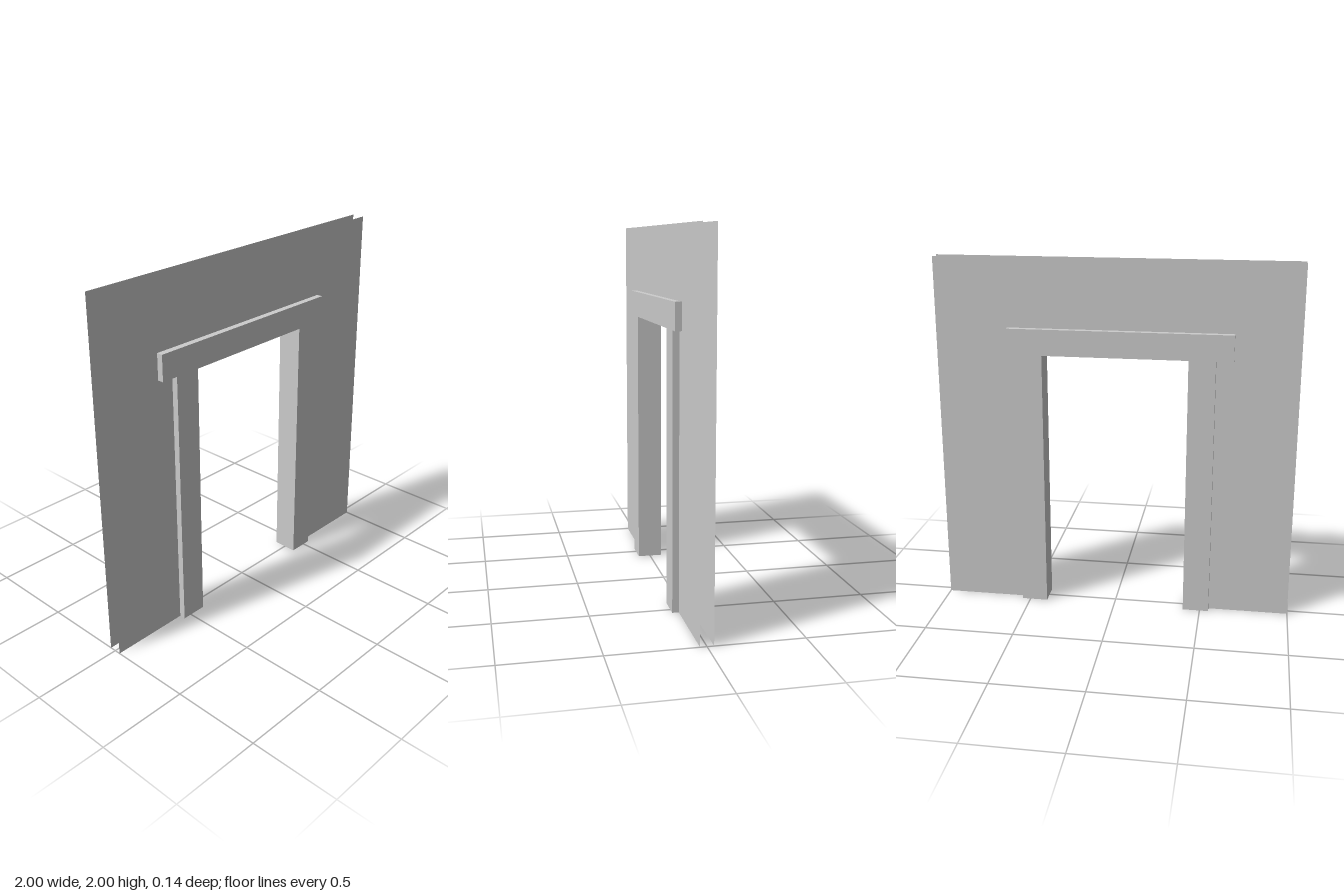
import * as THREE from 'three';

const material = new THREE.MeshStandardMaterial({
  color: 0xcccccc, flatShading: true, side: THREE.DoubleSide,
});

const shapeFrom = (points) => new THREE.Shape(points.map(([x, y]) => new THREE.Vector2(x, y)));

// Drop the faces lying on the floor, leaving the hollow posts open underneath
function openBottom(geometry) {
  const flat = geometry.index ? geometry.toNonIndexed() : geometry;
  const p = flat.attributes.position;
  const kept = [];
  for (let i = 0; i < p.count; i += 3) {
    const onFloor = [0, 1, 2].every((k) => Math.abs(p.getY(i + k)) < 1e-5);
    if (onFloor) continue;
    for (let k = 0; k < 3; k++) kept.push(p.getX(i + k), p.getY(i + k), p.getZ(i + k));
  }
  const open = new THREE.BufferGeometry();
  open.setAttribute('position', new THREE.Float32BufferAttribute(kept, 3));
  open.computeVertexNormals();
  return open;
}

export function createModel() {
  const model = new THREE.Group();
  model.name = 'doorway';

  // Door casing: two posts and a wider lintel in one outline
  const depth = 0.14;
  const casing = shapeFrom([
    [-0.55, 0], [-0.403, 0], [-0.403, 1.475], [0.4, 1.475], [0.4, 0], [0.546, 0],
    [0.546, 1.475], [0.595, 1.475], [0.595, 1.62], [-0.645, 1.62], [-0.645, 1.475], [-0.55, 1.475],
  ]);
  const casingGeometry = new THREE.ExtrudeGeometry(casing, { depth, bevelEnabled: false });
  casingGeometry.translate(0, 0, -depth / 2);
  const casingMesh = new THREE.Mesh(openBottom(casingGeometry), material);
  casingMesh.name = 'doorCasing';
  model.add(casingMesh);

  // Wall: two thin sheets whose opening ends inside the casing
  const wall = shapeFrom([
    [-1, 0], [-0.52, 0], [-0.52, 1.55], [0.52, 1.55], [0.52, 0], [1, 0], [1, 2], [-1, 2],
  ]);
  for (const [name, z] of [['frontWallSheet', 0.035], ['backWallSheet', -0.035]]) {
    const sheet = new THREE.Mesh(new THREE.ShapeGeometry(wall), material);
    sheet.name = name;
    sheet.position.z = z;
    model.add(sheet);
  }

  return model;
}
